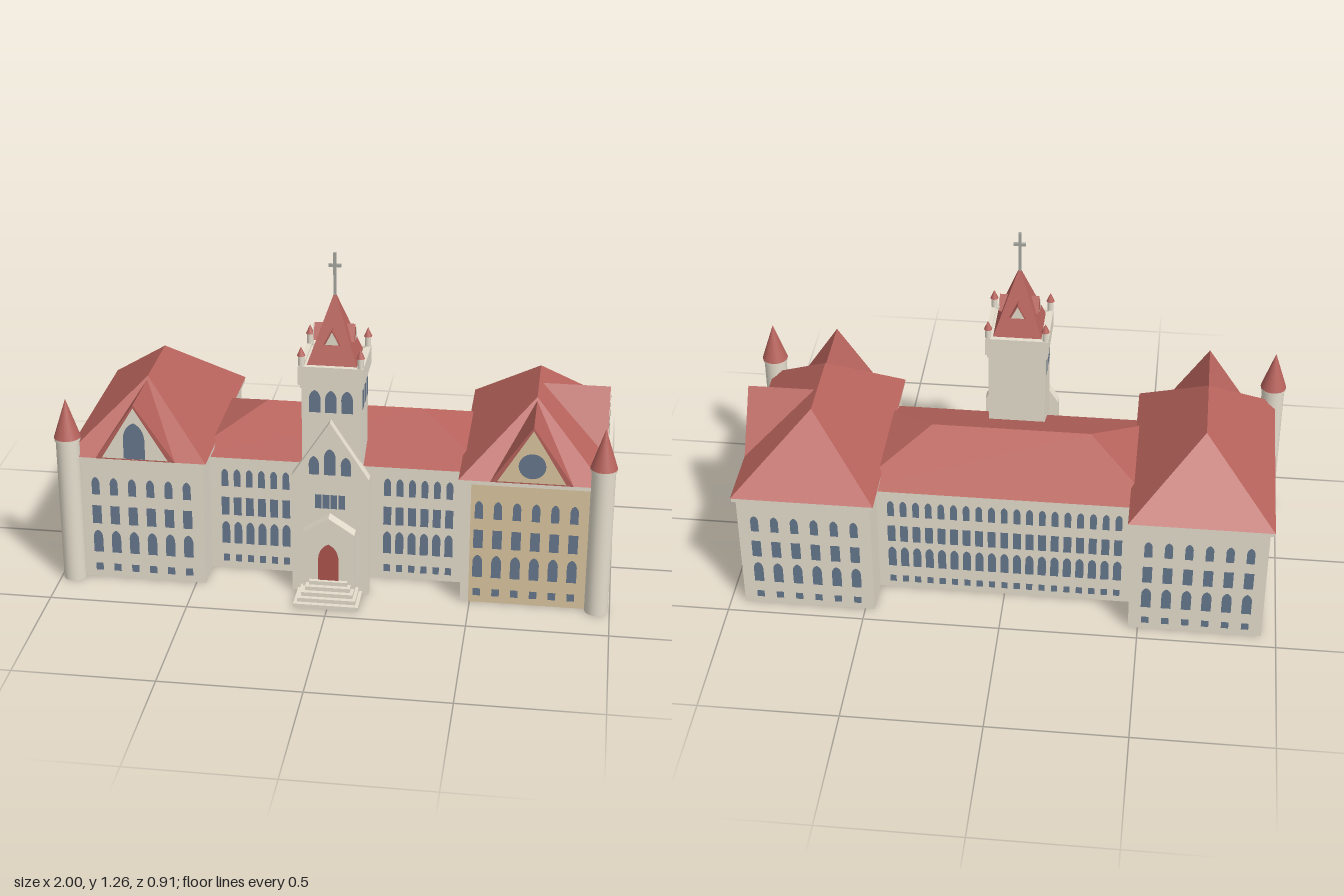
import * as THREE from 'three';
import { mergeGeometries } from 'three/addons/utils/BufferGeometryUtils.js';

const mat = (name, color) => new THREE.MeshStandardMaterial({ name, color });

export function createModel() {
  const stone = mat('stone', 0xe5decd), red = mat('roofRed', 0xb8635c), glass = mat('windowBlue', 0x66788d);
  const tan = mat('tanStone', 0xdcc6a0), doorRed = mat('doorRed', 0xb0544e), metal = mat('finialGrey', 0xa8a8a2);
  stone.side = THREE.DoubleSide; // the walls are open underneath
  const model = new THREE.Group();
  model.name = 'building';

  const add = (name, geo, m, x = 0, y = 0, z = 0, ry = 0) => {
    const mesh = new THREE.Mesh(geo, m);
    mesh.name = name;
    mesh.position.set(x, y, z);
    mesh.rotation.y = ry;
    model.add(mesh);
    return mesh;
  };
  // Removes the faces lying on the lowest level, leaving a hollow shell
  const hollow = geo => {
    const g = geo.index ? geo.toNonIndexed() : geo;
    g.computeBoundingBox();
    const p = g.attributes.position, low = g.boundingBox.min.y + 1e-5, keep = [];
    for (let i = 0; i < p.count; i += 3)
      if (Math.max(p.getY(i), p.getY(i + 1), p.getY(i + 2)) > low) keep.push(i, i + 1, i + 2);
    g.clearGroups();
    g.setIndex(keep);
    return g;
  };
  // Box given by its limits; boxes standing on the ground are hollow
  const box = (name, m, x0, x1, y0, y1, z0, z1) => {
    const g = new THREE.BoxGeometry(x1 - x0, y1 - y0, z1 - z0);
    return add(name, y0 === 0 ? hollow(g) : g, m, (x0 + x1) / 2, (y0 + y1) / 2, (z0 + z1) / 2);
  };
  const poly = (...pts) => new THREE.Shape(pts.map(p => new THREE.Vector2(...p)));
  const gable = (hw, y0, eave, top) => eave > y0
    ? poly([-hw, y0], [hw, y0], [hw, eave], [0, top], [-hw, eave])
    : poly([-hw, y0], [hw, y0], [0, top]);
  const extrude = (shape, depth) => new THREE.ExtrudeGeometry(shape, { depth, bevelEnabled: false });

  // Window outlines: square-headed or with a pointed arch
  const rect = (u, y0, y1, w) => poly([u - w / 2, y0], [u + w / 2, y0], [u + w / 2, y1], [u - w / 2, y1]);
  const arch = (u, y0, y1, w) => {
    const s = new THREE.Shape(), h = w / 2, spring = y1 - w * 0.8;
    s.moveTo(u - h, y0);
    s.lineTo(u + h, y0);
    s.lineTo(u + h, spring);
    s.quadraticCurveTo(u + h * 0.9, y1 - w * 0.2, u, y1);
    s.quadraticCurveTo(u - h * 0.9, y1 - w * 0.2, u - h, spring);
    return s;
  };
  const panes = (name, shapes, m, x, z, ry = 0) =>
    add(name, mergeGeometries(shapes.map(s => new THREE.ShapeGeometry(s, 6))), m, x, 0, z, ry);

  // Four storeys of windows in evenly spaced columns
  const storeys = (n, step, k = 1) => {
    const out = [];
    for (let i = 0; i < n; i++) {
      const u = (i - (n - 1) / 2) * step;
      out.push(rect(u, 0.028, 0.057, 0.027 * k), arch(u, 0.103, 0.193, 0.035 * k),
        rect(u, 0.22, 0.293, 0.034 * k), arch(u, 0.337, 0.407, 0.029 * k));
    }
    return out;
  };

  // Hipped roof; ridge runs between points a and b given as [x, z]
  const hip = (name, x0, x1, z0, z1, y0, y1, a, b) => {
    const g = new THREE.BufferGeometry();
    g.setAttribute('position', new THREE.Float32BufferAttribute([
      x0, y0, z1, x1, y0, z1, x1, y0, z0, x0, y0, z0, a[0], y1, a[1], b[0], y1, b[1]], 3));
    const alongX = a[1] === b[1];
    g.setIndex(alongX
      ? [0, 1, 5, 0, 5, 4, 1, 2, 5, 2, 3, 4, 2, 4, 5, 3, 0, 4]
      : [0, 1, 5, 1, 2, 4, 1, 4, 5, 2, 3, 4, 3, 0, 5, 3, 5, 4]);
    const flat = g.toNonIndexed();
    flat.computeVertexNormals();
    add(name, flat, red);
  };

  // Middle range
  box('middleWalls', stone, -0.466, 0.466, 0, 0.447, -0.307, 0.19);
  box('middleEave', stone, -0.48, 0.48, 0.443, 0.457, -0.32, 0.203);
  hip('middleRoof', -0.55, 0.55, -0.322, 0.205, 0.457, 0.577, [-0.29, -0.06], [0.29, -0.06]);
  for (const s of [-1, 1]) panes('middleFrontWindows', storeys(6, 0.045, 0.85), glass, s * 0.298, 0.193);
  panes('middleBackWindows', storeys(19, 0.046, 0.85), glass, 0, -0.31, Math.PI);

  // End wings with corner turrets
  for (const s of [-1, 1]) {
    const wx = (a, b) => (s > 0 ? [a, b] : [-b, -a]);
    const c = s * 0.706;
    box('wingWalls', stone, ...wx(0.465, 0.947), 0, 0.475, -0.443, 0.32);
    box('wingEave', stone, ...wx(0.452, 0.96), 0.473, 0.489, -0.454, 0.332);
    hip('wingRoof', ...wx(0.45, 0.963), -0.456, 0.335, 0.489, 0.715, [c, -0.197], [c, 0.093]);
    panes('wingFrontWindows', storeys(6, 0.067), glass, s * 0.692, s > 0 ? 0.326 : 0.323);
    panes('wingBackWindows', storeys(6, 0.072), glass, c, -0.446, Math.PI);
    panes('wingSideWindows', storeys(10, 0.068), glass, s * 0.95, -0.077, s * Math.PI / 2);

    // Front dormer
    add('frontDormerRoof', extrude(gable(0.145, 0.489, 0, 0.705), 0.25), red, c, 0, 0.086);
    panes('frontDormerGable', [gable(0.12, 0.495, 0, 0.694)], s > 0 ? tan : stone, c, 0.339);
    if (s > 0) add('roundWindow', new THREE.CircleGeometry(0.048, 24), glass, c, 0.56, 0.342);
    else panes('frontDormerWindow', [arch(0, 0.497, 0.638, 0.078)], glass, c, 0.342);

    // Turret
    const tx = s * 0.952, tz = 0.327;
    add('turretShaft', hollow(new THREE.CylinderGeometry(0.042, 0.042, 0.556, 20)), stone, tx, 0.278, tz);
    add('turretCollar', new THREE.CylinderGeometry(0.046, 0.046, 0.014, 20), stone, tx, 0.559, tz);
    add('turretCone', new THREE.ConeGeometry(0.048, 0.147, 20), red, tx, 0.638, tz);
  }
  panes('tanFront', [rect(0.72, 0, 0.473, 0.45)], tan, 0, 0.323);

  // Dormer on the outer side of the left wing
  add('sideDormerRoof', extrude(gable(0.145, 0.489, 0, 0.703), 0.25), red, 0.713, 0, -0.063, Math.PI / 2);
  panes('sideDormerGable', [gable(0.119, 0.495, 0, 0.692)], stone, 0.966, -0.057, Math.PI / 2);
  panes('sideDormerWindow', [arch(0, 0.497, 0.632, 0.067)], glass, 0.969, -0.057, Math.PI / 2);

  // Central tower
  const X = -0.005, Z = 0.19;
  box('towerShaft', stone, X - 0.104, X + 0.104, 0, 0.8, Z - 0.103, Z + 0.103);
  box('towerMoulding', stone, X - 0.108, X + 0.108, 0.79, 0.806, Z - 0.108, Z + 0.108);
  box('parapetFloor', stone, X - 0.1, X + 0.1, 0.805, 0.868, Z - 0.1, Z + 0.1);
  const sq = r => [[-r, -r], [r, -r], [r, r], [-r, r]];
  const ring = poly(...sq(0.115));
  ring.holes.push(poly(...sq(0.097)));
  add('parapet', extrude(ring, 0.07), stone, X, 0.875, Z).rotation.x = Math.PI / 2;
  const belfry = [-0.057, 0, 0.057].map(u => arch(u, 0.7, 0.785, 0.041));
  for (const q of [-1, 0, 1]) {
    const ry = q * Math.PI / 2;
    panes('belfryWindows', belfry, glass, X + Math.sin(ry) * 0.107, Z + Math.cos(ry) * 0.106, ry);
  }

  // Spire with four small dormers
  const spire = new THREE.ConeGeometry(0.088 * Math.SQRT2, 0.248, 4, 1).toNonIndexed();
  spire.computeVertexNormals();
  add('spire', spire, red, X, 0.993, Z, Math.PI / 4);
  for (let q = 0; q < 4; q++) {
    const ry = q * Math.PI / 2, dx = Math.sin(ry), dz = Math.cos(ry);
    add('spireDormer', extrude(gable(0.03, 0.942, 0, 0.998), 0.072), red, X, 0, Z, ry);
    panes('spireDormerFace', [gable(0.024, 0.944, 0, 0.992)], stone, X + dx * 0.075, Z + dz * 0.075, ry);
    // Corner pinnacle
    const px = X + (q % 2 ? 1 : -1) * 0.104, pz = Z + (q < 2 ? 1 : -1) * 0.104;
    add('pinnacle', new THREE.CylinderGeometry(0.011, 0.011, 0.05, 10), stone, px, 0.89, pz);
    add('pinnacleCap', new THREE.ConeGeometry(0.015, 0.034, 10), red, px, 0.929, pz);
  }
  box('finialRod', metal, X - 0.005, X + 0.005, 1.1, 1.258, Z - 0.005, Z + 0.005);
  box('finialBar', metal, X - 0.022, X + 0.022, 1.206, 1.216, Z - 0.005, Z + 0.005);

  // Gabled entrance front
  add('entranceGable', hollow(extrude(gable(0.139, 0, 0.46, 0.675), 0.04)), stone, X, 0, 0.285);
  panes('gableWindows', [arch(0, 0.473, 0.575, 0.042), arch(-0.057, 0.473, 0.545, 0.036), arch(0.057, 0.473, 0.545, 0.036),
    ...[-0.042, -0.014, 0.014, 0.042].map(u => rect(u, 0.34, 0.395, 0.024))], glass, X, 0.328);

  // Porch, door and steps
  add('porch', hollow(extrude(gable(0.093, 0, 0.26, 0.322), 0.045)), stone, X, 0, 0.325);
  panes('door', [arch(0, 0.075, 0.22, 0.074)], doorRed, X, 0.373);
  for (let i = 0; i < 5; i++) {
    const hw = 0.117 - i * 0.012;
    box('step', stone, X - hw, X + hw, i * 0.015, (i + 1) * 0.015, 0.33, 0.451 - i * 0.0165);
  }
  return model;
}
